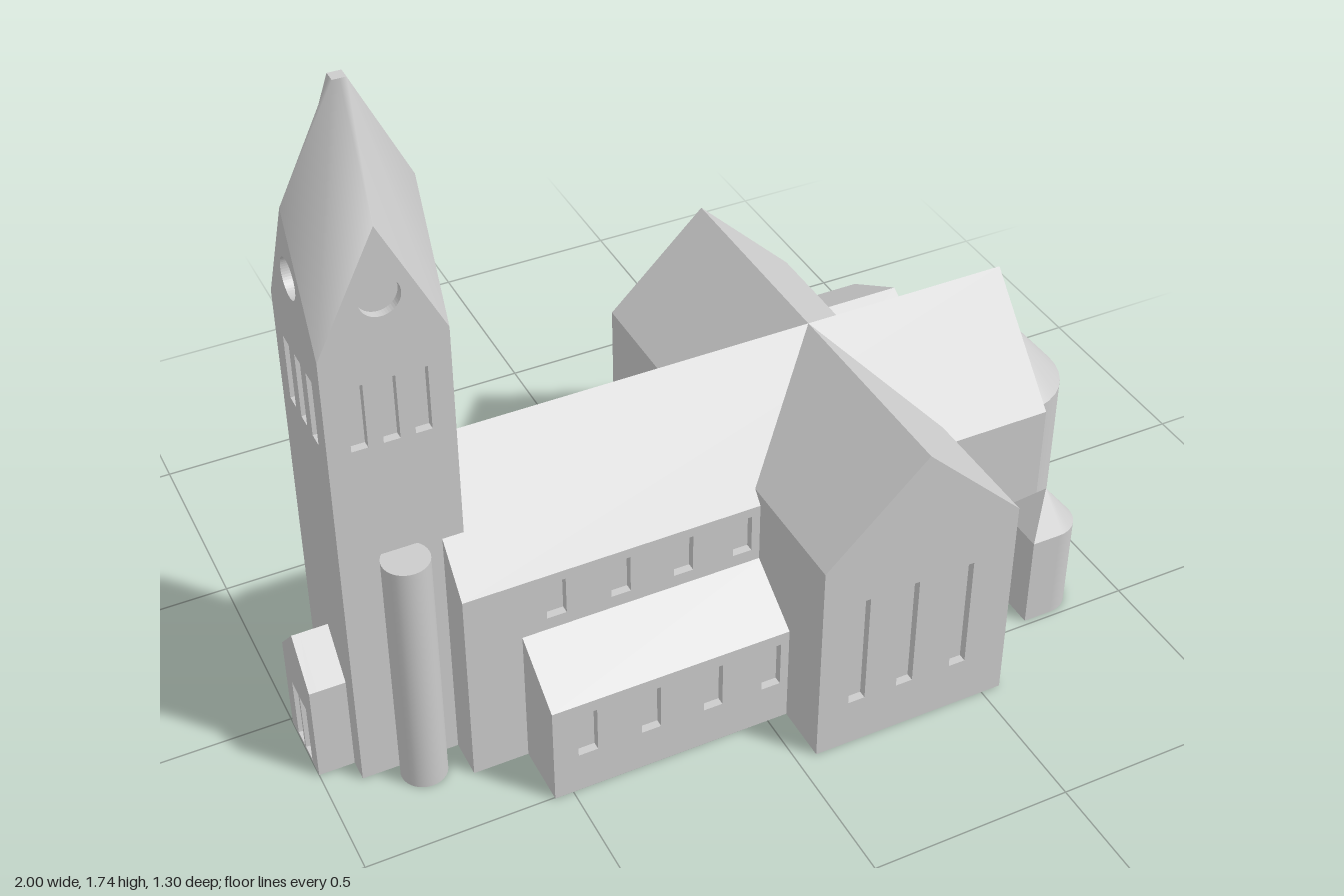
import * as THREE from 'three';

const stone = new THREE.MeshStandardMaterial({ color: 0xcccccc });
stone.name = 'pale grey stone';
const D = 0.02;    // window recess depth
const CZ = 0.105;  // centre line of the nave

export function createModel() {
  const model = new THREE.Group();
  model.name = 'church';

  const add = (geo, name, x = 0, y = 0, z = 0) => {
    const mesh = new THREE.Mesh(geo, stone);
    mesh.name = name;
    mesh.position.set(x, y, z);
    model.add(mesh);
    return mesh;
  };

  // Outline extruded along z, or along x (the outline is then given as z, y)
  const prism = (name, pts, axis, from, to, holes = []) => {
    const shape = new THREE.Shape(pts.map(p => new THREE.Vector2(...p)));
    shape.holes = holes;
    const geo = new THREE.ExtrudeGeometry(shape, { depth: to - from, bevelEnabled: false, curveSegments: 24 });
    if (axis === 'x') geo.rotateY(-Math.PI / 2).translate(to, 0, 0);
    else geo.translate(0, 0, from);
    return add(geo, name);
  };

  const rect = (x0, x1, y0, y1) => [[x0, y0], [x1, y0], [x1, y1], [x0, y1]];
  const opening = (cx, w, y0, y1) =>
    new THREE.Path(rect(cx - w / 2, cx + w / 2, y0, y1).map(p => new THREE.Vector2(...p)));
  const gable = (c, w, eave, ridge) => [[c - w, 0], [c + w, 0], [c + w, eave], [c, ridge], [c - w, eave]];

  // Nave: roof overhangs a core, thin pierced walls fill the sides
  const w = 0.245, eave = 0.525;
  prism('nave', [
    [CZ - w + D, 0], [CZ + w - D, 0], [CZ + w - D, eave], [CZ + w, eave],
    [CZ, 0.797], [CZ - w, eave], [CZ - w + D, eave],
  ], 'x', -0.68, 0.825);
  const bays = [-0.46, -0.302, -0.145, 0.005];
  for (const s of [1, -1]) {
    const side = s > 0 ? 'front' : 'back';
    const wall = (name, outer, x0, x1, h, holes) =>
      prism(name, rect(x0, x1, 0, h), 'z', Math.min(outer, outer - s * D), Math.max(outer, outer - s * D), holes);

    wall(side + 'NaveWall', CZ + s * w, -0.68, 0.825, eave, bays.map(x => opening(x, 0.048, 0.4, 0.5)));

    // Side aisle with a lean-to roof
    const at = d => CZ + s * d;
    prism(side + 'Aisle', [
      [at(0.2), 0], [at(0.398 - D), 0], [at(0.398 - D), 0.265], [at(0.398), 0.265], [at(w), 0.367], [at(0.2), 0.367],
    ], 'x', -0.545, 0.06);
    wall(side + 'AisleWall', at(0.398), -0.545, 0.06, 0.265, bays.map(x => opening(x, 0.048, 0.11, 0.233)));
  }

  // Transept with three tall windows at each end
  const cross = gable(0.3, 0.25, 0.555, 0.797);
  const tall = () => [0.15, 0.277, 0.42].map(x => opening(x, 0.043, 0.13, 0.435));
  prism('transept', cross, 'z', -0.442 + D, 0.647 - D);
  prism('transeptFrontWall', cross, 'z', 0.647 - D, 0.647, tall());
  prism('transeptBackWall', cross, 'z', -0.442, -0.442 + D, tall());

  // Tower: inner core and four gabled walls with windows and a round opening
  const TX = -0.772, TZ = 0.11, R = 0.142, LOW = 1.185, PEAK = 1.472;
  for (const axis of ['x', 'z']) {
    const across = axis === 'x' ? TZ : TX, along = axis === 'x' ? TX : TZ;
    const r = R - D;
    prism('towerCore', gable(across, r, LOW + (PEAK - LOW) * D / R, PEAK), axis, along - r, along + r);
    for (const s of [1, -1]) {
      const round = new THREE.Path();
      round.absarc(across, 1.303, 0.046, 0, Math.PI * 2, true);
      const holes = [-0.071, 0, 0.071].map(o => opening(across + o, 0.037, 0.94, 1.103));
      const mid = along + s * (R - D / 2);
      prism('towerWall', gable(across, R, LOW, PEAK), axis, mid - D / 2, mid + D / 2, [...holes, round]);
    }
  }

  // Spire: smooth loft from the gable zigzag to a tiny square top
  const pos = [], idx = [], T = 0.015;
  for (let i = 0; i < 8; i++) {
    const a = i * Math.PI / 4, sx = Math.round(Math.sin(a)), sz = Math.round(Math.cos(a));
    pos.push(sx * R, i % 2 ? LOW : PEAK, sz * R, sx * T, 1.735, sz * T);
    const p = 2 * i, q = 2 * ((i + 1) % 8);
    idx.push(p, q, q + 1, p, q + 1, p + 1);
  }
  const spire = new THREE.BufferGeometry();
  spire.setAttribute('position', new THREE.Float32BufferAttribute(pos, 3));
  spire.setIndex(idx);
  spire.computeVertexNormals();
  add(spire, 'spire', TX, 0, TZ);
  add(new THREE.PlaneGeometry(2 * T, 2 * T).rotateX(-Math.PI / 2), 'spireTop', TX, 1.735, TZ);

  // Stair turret beside the tower
  add(new THREE.CylinderGeometry(0.055, 0.055, 0.645, 32), 'stairTurret', -0.778, 0.3225, 0.288);

  // Entrance porch with a double door recess
  const porch = gable(CZ, 0.093, 0.257, 0.357);
  prism('porch', porch, 'x', -1 + D, -0.9);
  prism('porchFront', porch, 'x', -1, -1 + D,
    [-0.026, 0.026].map(o => opening(CZ + o, 0.044, 0.008, 0.17)));

  // Apse with conical roof
  add(new THREE.CylinderGeometry(0.162, 0.162, 0.47, 32), 'apse', 0.838, 0.235, 0.11);
  add(new THREE.ConeGeometry(0.162, 0.188, 32), 'apseRoof', 0.838, 0.564, 0.11);

  // Two small chapels: square at the rear, rounded toward the end
  for (const z of [0.413, -0.195]) {
    const r = 0.074, h = 0.25, top = 0.092, x = 0.803;
    add(new THREE.BoxGeometry(r, h, 2 * r), 'chapelBlock', x - r / 2, h / 2, z);
    add(new THREE.CylinderGeometry(r, r, h, 20, 1, false, 0, Math.PI), 'chapelRound', x, h / 2, z);
    add(new THREE.ConeGeometry(r, top, 20, 1, false, 0, Math.PI), 'chapelRoundRoof', x, h + top / 2, z);
    const rim = [[0, -r], [-r, -r], [-r, r], [0, r]], tri = [];
    for (let i = 0; i < 3; i++) {
      const [a, b] = [rim[i], rim[i + 1]];
      tri.push(a[0], 0, a[1], b[0], 0, b[1], 0, top, 0);
    }
    const roof = new THREE.BufferGeometry();
    roof.setAttribute('position', new THREE.Float32BufferAttribute(tri, 3));
    roof.computeVertexNormals();
    add(roof, 'chapelRoof', x, h, z);
  }

  // Annex behind the transept
  prism('annex', gable(-0.452, 0.202, 0.247, 0.362), 'x', 0.52, 0.893);

  return model;
}
